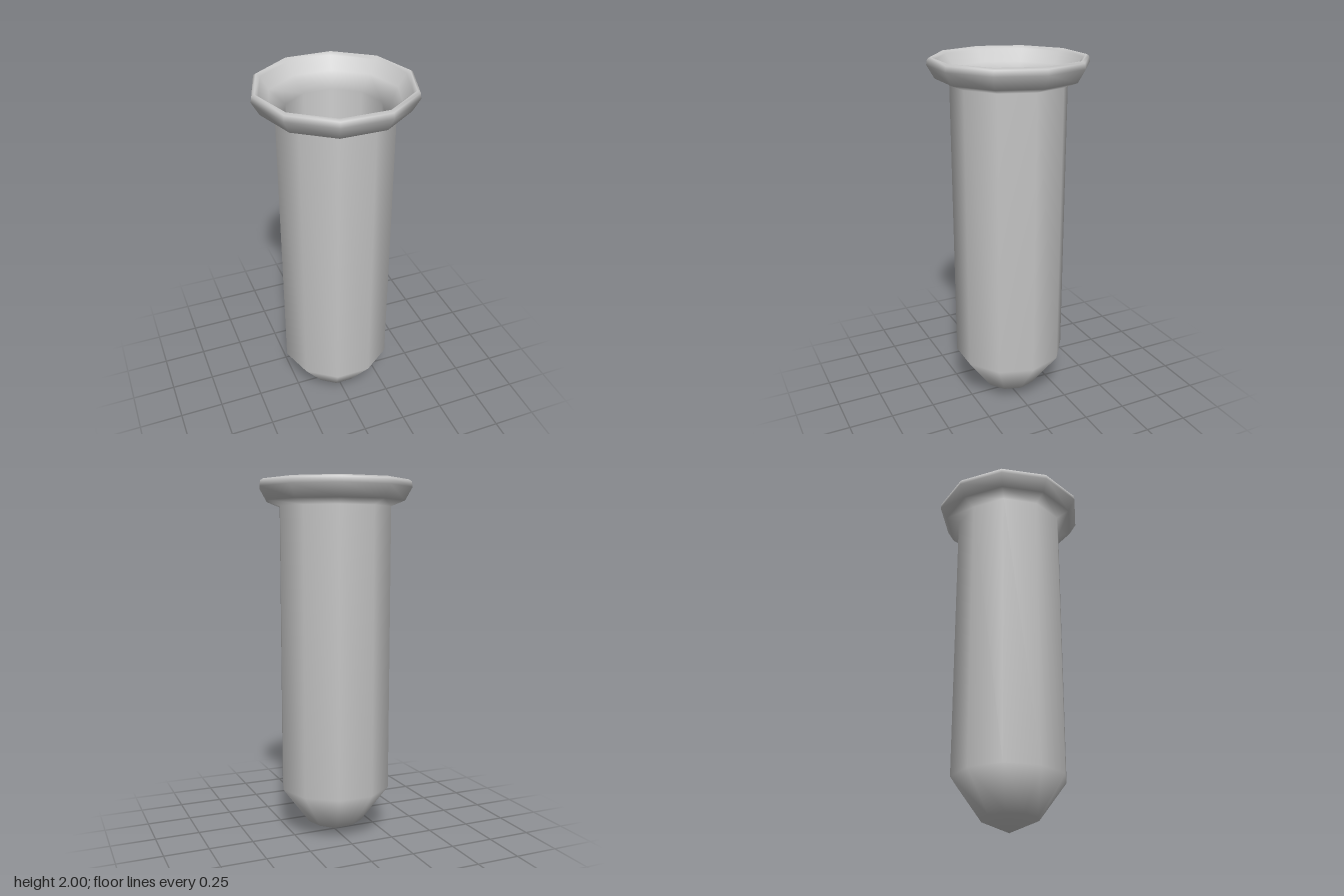
import * as THREE from 'three';

// Ten-sided hollow tube with a pointed base and a flared lip
export function createModel() {
  const group = new THREE.Group();
  group.name = 'tube';
  const material = new THREE.MeshStandardMaterial({ color: 0xcccccc });

  // Closed section: up the outside, over the lip, down the inside
  const profile = [
    [0, 0], [0.16, 0.07], [0.315, 0.28], [0.315, 1.86], // outer tip and wall
    [0.39, 1.89], [0.43, 1.96], [0.425, 1.99], [0.41, 2], [0.39, 1.985], // lip
    [0.345, 1.92], [0.26, 1.85], // funnel
    [0.26, 0.3], [0.13, 0.13], [0, 0.07], // inner wall and floor
  ].map(([r, y]) => new THREE.Vector2(r, y));

  const body = new THREE.Mesh(new THREE.LatheGeometry(profile, 10, Math.PI / 2), material);
  body.name = 'tubeBody';
  group.add(body);
  return group;
}
